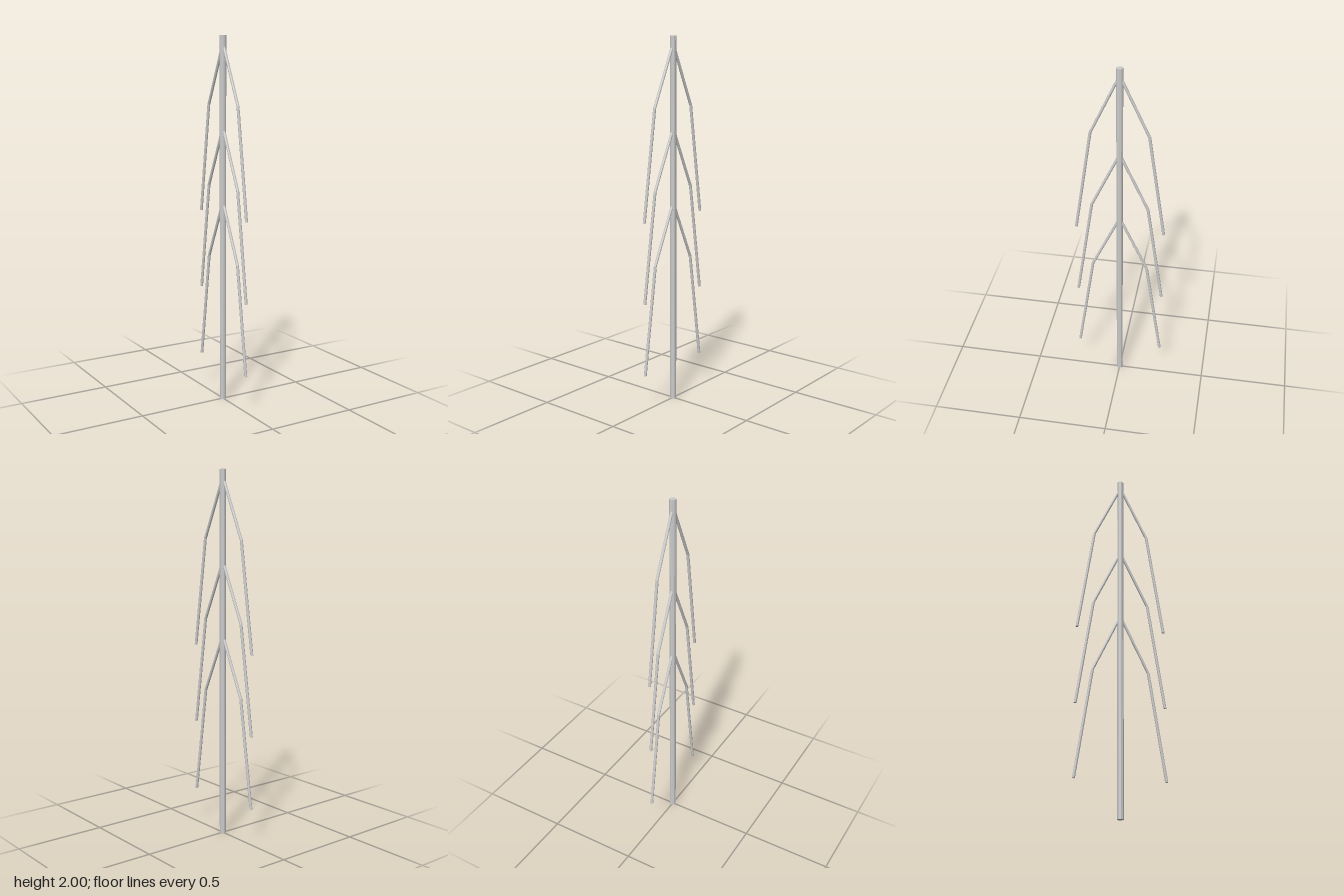
import * as THREE from 'three';

const material = new THREE.MeshStandardMaterial({ color: 0xcccccc, flatShading: true });

// Bent branch: a cylinder whose three level rings are moved onto a path of [y, z] points
function branchGeometry(path, radius) {
  const geometry = new THREE.CylinderGeometry(radius, radius, 2, 10, 2, false, Math.PI / 2);
  const pos = geometry.attributes.position;
  for (let i = 0; i < pos.count; i++) {
    const [y, z] = path[Math.round(1 - pos.getY(i))];
    pos.setY(i, y);
    pos.setZ(i, pos.getZ(i) + z);
  }
  geometry.computeVertexNormals();
  return geometry;
}

export function createModel() {
  const model = new THREE.Group();

  // Central upright pole
  const pole = new THREE.Mesh(
    new THREE.CylinderGeometry(0.0175, 0.0175, 2, 10, 1, false, Math.PI / 2), material);
  pole.name = 'pole';
  pole.position.y = 1;
  model.add(pole);

  // Three tiers of drooping branches, one forward and one backward each
  const geometry = branchGeometry([[0.92, 0], [0.594, 0.151], [0, 0.239]], 0.008);
  [0.2, 0.6, 1.04].forEach((height, i) => {
    const tier = new THREE.Group();
    tier.name = `branchTier${i + 1}`;
    tier.position.y = height;
    for (const [name, turn] of [['frontBranch', 0], ['backBranch', Math.PI]]) {
      const branch = new THREE.Mesh(geometry, material);
      branch.name = name;
      branch.rotation.y = turn;
      tier.add(branch);
    }
    model.add(tier);
  });

  return model;
}
